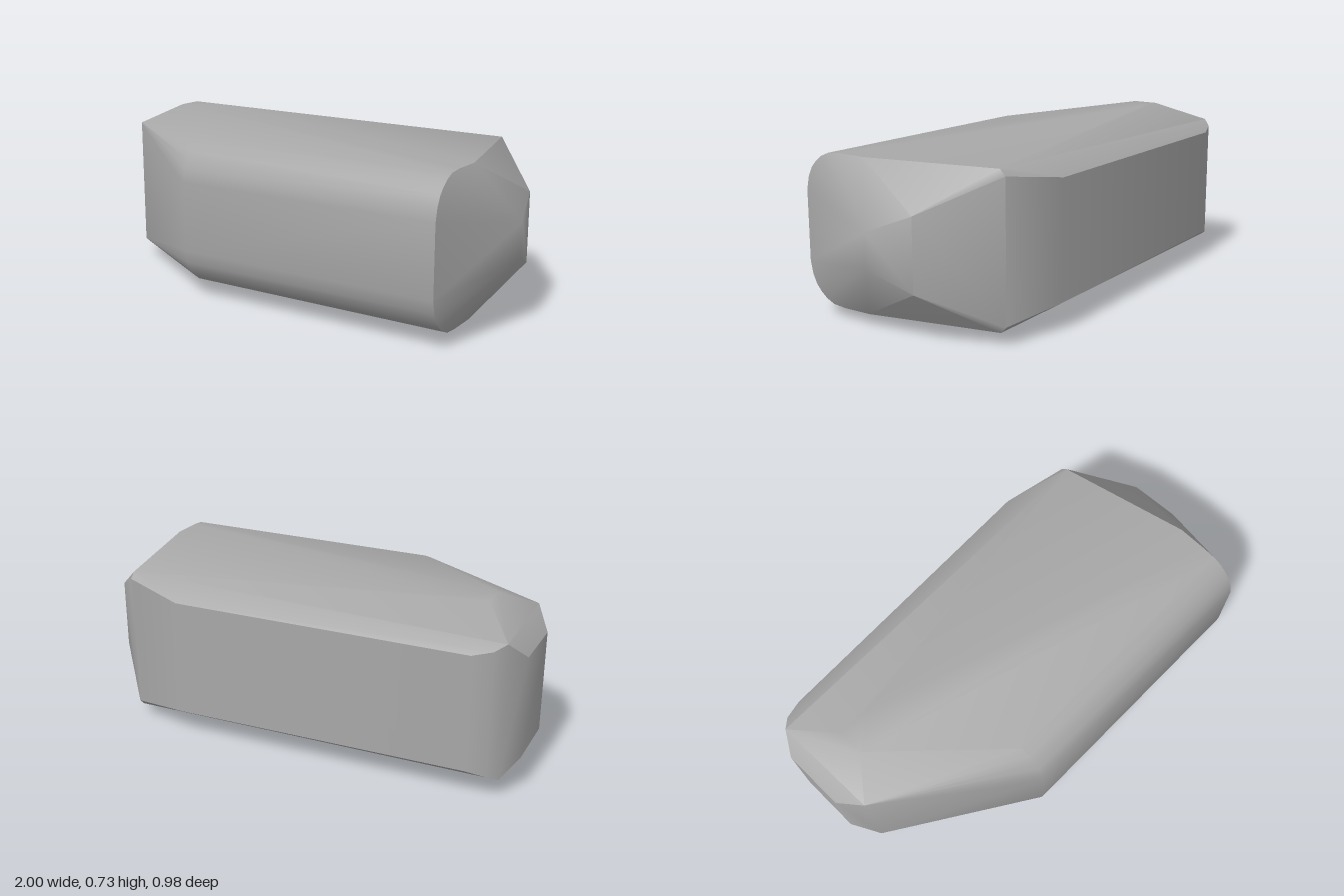
import * as THREE from 'three';
import { toCreasedNormals } from 'three/addons/utils/BufferGeometryUtils.js';
import { ConvexGeometry } from 'three/addons/geometries/ConvexGeometry.js';

const MID = 0.367; // height of the horizontal mirror plane

export function createModel() {
  const group = new THREE.Group();
  group.name = 'block';
  const stone = new THREE.MeshStandardMaterial({ color: 0xa8a8a8 });
  stone.name = 'stone grey';

  // Corners as [x, height above the mirror plane, z]
  const corners = [
    // chamfered narrow end
    [-1, 0.215, -0.04], [-1, 0.215, -0.31], [-0.93, 0.288, 0.07], [-0.94, 0.288, -0.39],
    // highest facet
    [-0.8, 0.367, -0.08], [-0.8, 0.367, -0.19], [-0.66, 0.365, -0.19],
    // back face with its rounded corner
    [-0.9, 0.265, -0.43], [-0.82, 0.245, -0.455], [0.45, 0.25, -0.49],
    // back corner and pointed end
    [0.72, 0.29, -0.415], [0.72, 0.316, -0.39], [0.85, 0.317, 0.17],
    [0.95, 0.15, -0.16], [1, 0.072, 0.03],
  ];

  // Rounded front edge, as [z, height], running along x
  const fillet = [[0.487, 0.15], [0.475, 0.205], [0.455, 0.245], [0.43, 0.273],
    [0.4, 0.296], [0.36, 0.313], [0.3, 0.318]];
  for (const [z, h] of fillet) corners.push([-0.33, h, z], [0.85, h, z]);

  // Mirror top to bottom and wrap in a hull
  const points = corners.flatMap(([x, h, z]) => [
    new THREE.Vector3(x, MID + h, z),
    new THREE.Vector3(x, MID - h, z),
  ]);
  const geometry = toCreasedNormals(new ConvexGeometry(points), 0.66);

  const body = new THREE.Mesh(geometry, stone);
  body.name = 'body';
  group.add(body);
  return group;
}
